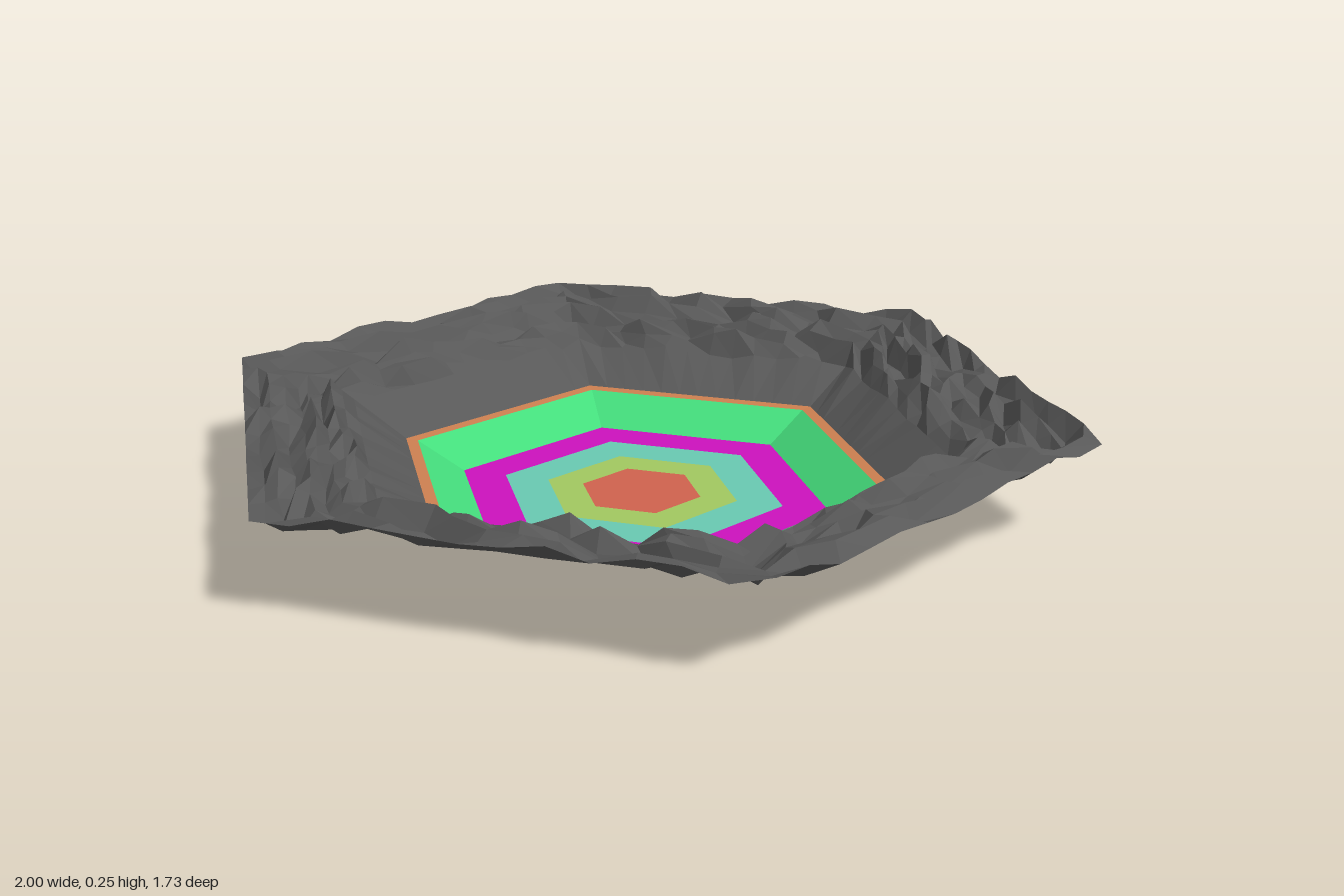
import * as THREE from 'three';

// Small seeded value in -1..1 for a ring / column pair
function noise(i, j) {
  const s = Math.sin(i * 127.1 + j * 311.7 + 3.3) * 43758.5453;
  return (s - Math.floor(s)) * 2 - 1;
}

// Point on a hexagon of corner radius r, side s, fraction t along that side
function hexPoint(r, s, t) {
  const a = (s * Math.PI) / 3, b = ((s + 1) * Math.PI) / 3;
  return [
    r * (Math.cos(a) * (1 - t) + Math.cos(b) * t),
    r * (Math.sin(a) * (1 - t) + Math.sin(b) * t),
  ];
}

// Hexagonal sheet through a list of rings; each ring is a function (column) => [radius, height, shift]
function hexSheet(name, color, rings, perSide = 1) {
  const n = perSide * 6, pos = [], idx = [];
  rings.forEach((ring) => {
    for (let k = 0; k < n; k++) {
      const [r, y, shift = 0] = ring(k);
      const t = (k % perSide) / perSide + shift;
      const [x, z] = hexPoint(r, Math.floor(k / perSide), t);
      pos.push(x, y, z);
    }
  });
  for (let i = 0; i < rings.length - 1; i++) {
    for (let k = 0; k < n; k++) {
      const a = i * n + k, b = i * n + ((k + 1) % n), c = a + n, d = b + n;
      idx.push(a, b, c, b, d, c);
    }
  }
  const geo = new THREE.BufferGeometry();
  geo.setAttribute('position', new THREE.Float32BufferAttribute(pos, 3));
  geo.setIndex(idx);
  geo.computeVertexNormals();
  const mesh = new THREE.Mesh(geo, new THREE.MeshStandardMaterial({
    color, flatShading: true, side: THREE.DoubleSide,
  }));
  mesh.name = name;
  return mesh;
}

export function createModel() {
  const group = new THREE.Group();
  group.name = 'hexagonalCrater';

  // Floor rings, sloping wall and narrow ledge: inner radius, height, outer radius, height
  const bands = [
    ['centreFloor', 0xd0624e, 0, 0, 0.14, 0],
    ['innerFloorRing', 0xa2c860, 0.14, 0, 0.225, 0],
    ['middleFloorRing', 0x69c9b2, 0.225, 0, 0.33, 0],
    ['outerFloorRing', 0xcc12bd, 0.33, 0, 0.435, 0],
    ['slopingWall', 0x44dd7c, 0.435, 0, 0.55, 0.063],
    ['ledge', 0xcc7f50, 0.55, 0.063, 0.58, 0.065],
  ];
  for (const [name, color, r0, y0, r1, y1] of bands) {
    group.add(hexSheet(name, color, [() => [r0, y0], () => [r1, y1]]));
  }

  // Rock bank: smooth lower slope, then jagged terraces out to the rim
  const perSide = 12;
  const terraces = [
    [0.74, 0.17], [0.77, 0.187], [0.8, 0.185], [0.83, 0.2], [0.86, 0.195],
    [0.895, 0.2], [0.93, 0.203], [0.965, 0.21],
  ];
  const rings = [
    () => [0.58, 0.065],
    (k) => [0.71, 0.145 + 0.01 * noise(0, k)],
    ...terraces.map(([r, y], i) => (k) => {
      const corner = k % perSide === 0;
      const height = y + 0.032 * noise(i + 1, k) + 0.012 * noise(i + 1, Math.floor(k / 3) + 200);
      return [r + 0.006 * noise(i + 40, k), height, corner ? 0 : 0.025 * noise(i + 80, k)];
    }),
    (k) => [1, 0.222 + 0.017 * noise(20, k)],
  ];
  group.add(hexSheet('rockBank', 0x585858, rings, perSide));

  return group;
}
